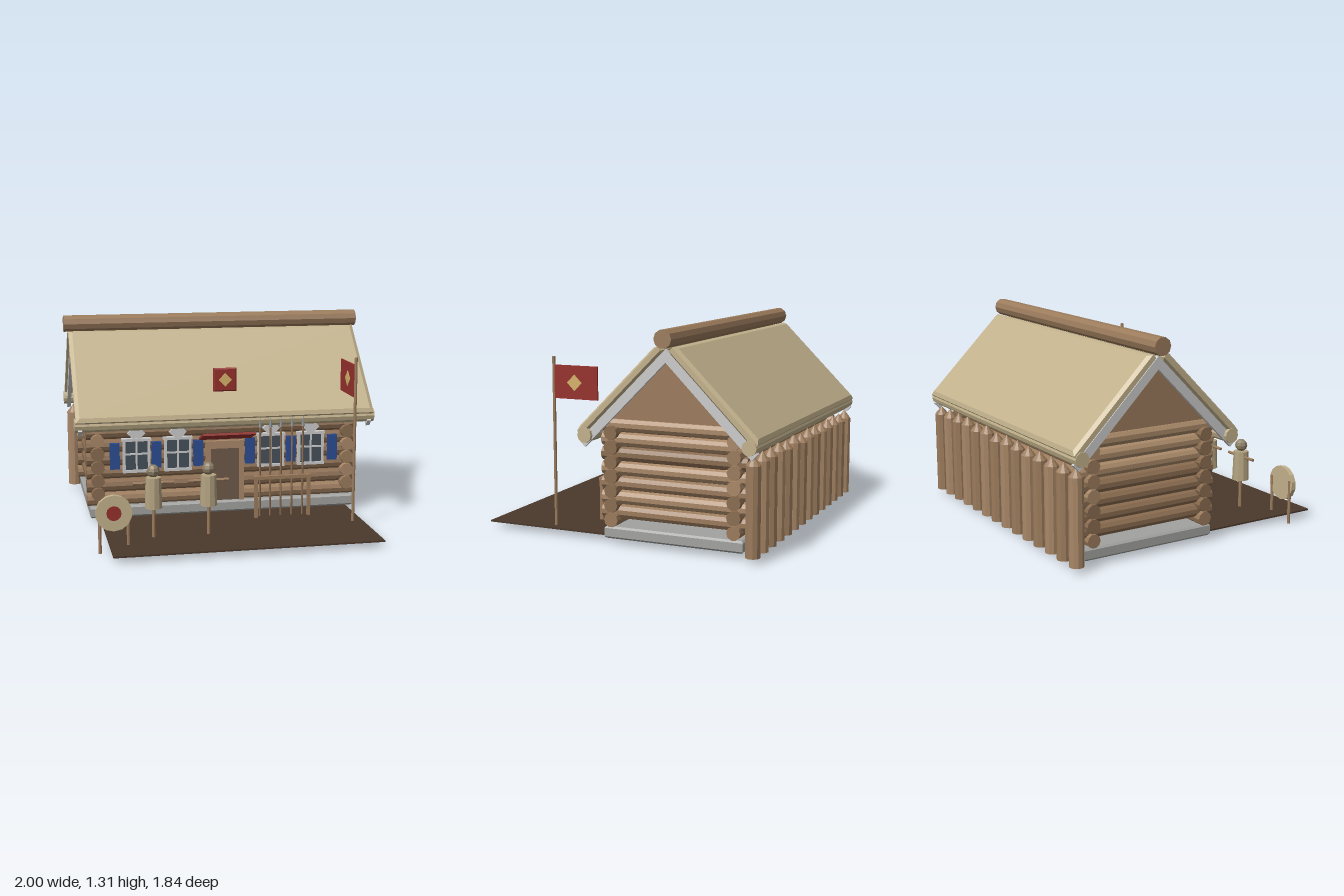
import * as THREE from 'three';

const C = {
  log: 0x9b7b5c, pale: 0xa98868, dark: 0x8a6c50, thatch: 0xc2b18c, stone: 0xa2a2a0, trim: 0xcccccc,
  yard: 0x4a382b, red: 0x96302c, gold: 0xd6b36c, blue: 0x2b4c92, glass: 0x46505a, door: 0x6f5a4a, straw: 0xb3a380,
};
const mats = {};
const mat = (c) => (mats[c] ??= new THREE.MeshStandardMaterial({ color: c, flatShading: true }));
const RIDGE_Z = -0.345;

let seed = 7;
const rand = () => (seed = (seed * 16807) % 2147483647) / 2147483647;

function add(parent, name, geo, color, x = 0, y = 0, z = 0) {
  const m = new THREE.Mesh(geo, mat(color));
  m.name = name;
  m.position.set(x, y, z);
  parent.add(m);
  return m;
}
const box = (p, name, color, w, h, d, x, y, z) => add(p, name, new THREE.BoxGeometry(w, h, d), color, x, y, z);

// Round bar of given length along an axis
function bar(p, name, color, r, len, axis, x, y, z, sides = 10) {
  const m = add(p, name, new THREE.CylinderGeometry(r, r, len, sides), color, x, y, z);
  if (axis === 'x') m.rotation.z = Math.PI / 2;
  if (axis === 'z') m.rotation.x = Math.PI / 2;
  return m;
}

// Chamfered slab: w along x, h along y, t along z
function slabGeometry(w, h, t, b, bt) {
  const a = w / 2 - b, c = h / 2 - b;
  const s = new THREE.Shape([[-a, -c], [a, -c], [a, c], [-a, c]].map((q) => new THREE.Vector2(...q)));
  return new THREE.ExtrudeGeometry(s, { depth: t - 2 * bt, bevelSize: b, bevelThickness: bt, bevelSegments: 1 })
    .translate(0, 0, -(t - 2 * bt) / 2);
}

// Outline in the z-y plane, mirrored about the ridge, given thickness along x
function gablePiece(p, name, color, half, thick, x) {
  const pts = [...half, ...half.map(([u, y]) => [-u, y]).reverse().filter(([u]) => u !== 0)];
  const geo = new THREE.ExtrudeGeometry(new THREE.Shape(pts.map((q) => new THREE.Vector2(...q))), { depth: thick, bevelEnabled: false });
  geo.translate(0, 0, -thick / 2).rotateY(-Math.PI / 2);
  add(p, name, geo, color, x, 0, RIDGE_Z);
}

function diamond(p, name, color, half, thick, x, y, z) {
  const s = half * Math.SQRT2;
  const m = box(p, name, color, s, s, thick, x, y, z);
  m.rotation.z = Math.PI / 4;
  return m;
}

function buildWalls(g) {
  const tones = [C.log, C.pale, C.dark];
  const tone = () => tones[Math.floor(rand() * 3)];
  for (let i = 0; i < 7; i++) {
    const y = 0.155 + i * 0.0875;
    for (const z of [0.04, -0.74]) bar(g, 'longLog', tone(), 0.042 + rand() * 0.003, 1.8, 'x', 0, y, z);
    for (const x of [-0.83, 0.83]) bar(g, 'sideLog', tone(), 0.042 + rand() * 0.003, 0.925, 'z', x, y + 0.044, -0.348);
  }
  for (const x of [-0.83, 0.83])
    gablePiece(g, 'gableWall', C.log, [[0, 1.19], [0.47, 0.72]], 0.04, x);
}

function buildRoof(g) {
  for (const side of [0, Math.PI]) {
    const half = new THREE.Group();
    half.name = 'roofHalf';
    half.position.z = RIDGE_Z;
    half.rotation.y = side;
    g.add(half);
    const slab = add(half, 'roofSlab', slabGeometry(1.945, 0.73, 0.06, 0.025, 0.015), C.thatch, 0, 0.941, 0.296);
    slab.rotation.x = -Math.PI / 4;
    bar(half, 'eaveLog', C.thatch, 0.045, 1.96, 'x', 0, 0.67, 0.515);
  }
  for (const x of [-0.945, 0.945])
    gablePiece(g, 'bargeBoard', C.trim, [[0, 1.197], [0.56, 0.637], [0.522, 0.598], [0, 1.12]], 0.025, x);
  bar(g, 'ridgeLog', C.log, 0.055, 2, 'x', 0, 1.256, RIDGE_Z);
}

function buildWindow(g, x) {
  const w = new THREE.Group();
  w.name = 'window';
  w.position.set(x, 0.445, 0.09);
  g.add(w);
  box(w, 'glass', C.glass, 0.16, 0.19, 0.02, 0, 0, 0);
  for (const s of [-1, 1]) {
    box(w, 'frameSide', C.trim, 0.016, 0.2, 0.035, s * 0.08, 0, 0.003);
    box(w, 'frameRail', C.trim, s > 0 ? 0.19 : 0.18, 0.018, 0.04, 0, s * 0.103, 0.003);
  }
  box(w, 'mullion', C.trim, 0.012, 0.19, 0.028, 0, 0, 0.002);
  box(w, 'crossBar', C.trim, 0.15, 0.012, 0.028, 0, 0.01, 0.002);
  diamond(w, 'crest', C.trim, 0.058, 0.02, 0, 0.145, 0.008);
}

function buildFacade(g) {
  for (const x of [-0.58, -0.31, 0.31, 0.58]) buildWindow(g, x);
  for (const x of [-0.72, -0.45, -0.175, 0.17, 0.447, 0.73])
    box(g, 'shutter', C.blue, 0.062, 0.17, 0.03, x, 0.443, 0.09);
  // Door with frame, panel and sloping awning
  for (const s of [-1, 1]) box(g, 'doorPost', C.pale, 0.032, 0.4, 0.06, s * 0.11, 0.318, 0.08);
  box(g, 'doorLintel', C.pale, 0.25, 0.05, 0.06, 0, 0.493, 0.08);
  box(g, 'doorPanel', C.door, 0.195, 0.36, 0.045, 0, 0.3, 0.08);
  const awning = box(g, 'awning', C.red, 0.345, 0.015, 0.165, 0, 0.567, 0.185);
  awning.rotation.x = -0.36;
}

function buildPalisade(g) {
  for (let i = 0; i < 14; i++) {
    const x = -0.915 + (i * 1.83) / 13, top = 0.55 + rand() * 0.03;
    bar(g, 'palisadePost', i % 2 ? C.log : C.pale, 0.045, top - 0.035, 'y', x, (top + 0.035) / 2, -0.865);
    add(g, 'palisadeTip', new THREE.ConeGeometry(0.045, 0.055, 10), C.log, x, top + 0.0275, -0.865);
  }
}

function buildDummy(g, x) {
  const d = new THREE.Group();
  d.name = 'trainingDummy';
  d.position.set(x, 0, 0.59);
  g.add(d);
  bar(d, 'stake', C.log, 0.011, 0.24, 'y', 0, 0.15, 0, 8);
  add(d, 'body', new THREE.CylinderGeometry(0.048, 0.054, 0.19, 10), C.straw, 0, 0.325, 0);
  add(d, 'head', new THREE.SphereGeometry(0.04, 8, 6), 0x8f8168, 0, 0.46, 0);
  bar(d, 'arms', C.log, 0.01, 0.25, 'x', 0, 0.385, 0, 8);
}

function buildYard(g) {
  box(g, 'yardGround', C.yard, 1.645, 0.01, 0.82, 0, 0.04, 0.523);
  for (const x of [-0.54, -0.2]) buildDummy(g, x);

  // Archery target on two legs
  for (const x of [-0.88, -0.71]) bar(g, 'targetLeg', C.log, 0.01, 0.28, 'y', x, 0.14, 0.718, 8);
  bar(g, 'targetDisc', C.thatch, 0.11, 0.03, 'z', -0.797, 0.25, 0.73, 14);
  bar(g, 'targetCentre', C.red, 0.045, 0.01, 'z', -0.797, 0.25, 0.746, 12);

  // Weapon rack and spears
  box(g, 'rackRail', C.log, 0.38, 0.022, 0.03, 0.34, 0.308, 0.298);
  for (const x of [0.165, 0.515]) box(g, 'rackLeg', C.log, 0.02, 0.27, 0.024, x, 0.17, 0.298);
  for (const x of [0.197, 0.265, 0.335, 0.408, 0.48]) {
    bar(g, 'spearShaft', C.dark, 0.007, 0.6, 'y', x, 0.34, 0.27, 6);
    add(g, 'spearHead', new THREE.ConeGeometry(0.013, 0.065, 6), 0x85888a, x, 0.665, 0.27);
  }

  // Flag flying back from its pole
  bar(g, 'flagPole', C.log, 0.01, 1.06, 'y', 0.755, 0.57, 0.495, 8);
  box(g, 'flag', C.red, 0.012, 0.205, 0.295, 0.755, 0.947, 0.342);
  diamond(g, 'flagDiamond', C.gold, 0.05, 0.02, 0.755, 0.945, 0.35).rotation.set(0, Math.PI / 2, Math.PI / 4);
}

export function createModel() {
  const g = new THREE.Group();
  g.name = 'logHouse';
  const base = add(g, 'foundation', slabGeometry(1.765, 0.885, 0.075, 0.012, 0.012), C.stone, 0, 0.073, -0.35);
  base.rotation.x = -Math.PI / 2;
  buildWalls(g);
  buildRoof(g);
  buildFacade(g);
  buildPalisade(g);
  buildYard(g);
  // Roof shield
  add(g, 'shield', slabGeometry(0.152, 0.152, 0.02, 0.008, 0.006), C.red, 0, 0.922, 0.102);
  diamond(g, 'shieldDiamond', C.gold, 0.043, 0.014, 0, 0.922, 0.114);
  return g;
}
